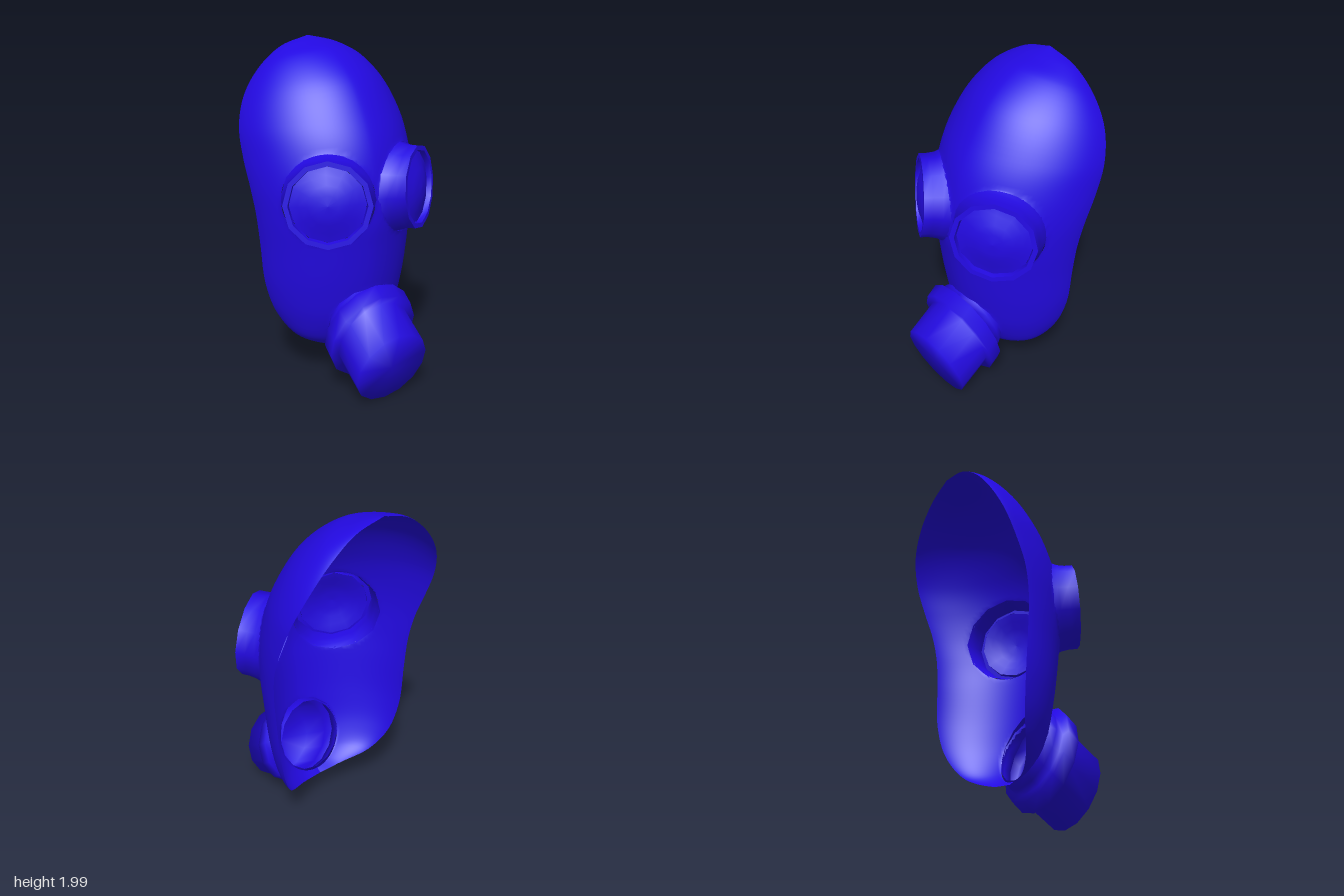
import * as THREE from 'three';
import { toCreasedNormals, mergeVertices } from 'three/addons/utils/BufferGeometryUtils.js';

const V = (x, y, z) => new THREE.Vector3(x, y, z);
const rubber = new THREE.MeshStandardMaterial({ color: 0x2309e2, side: THREE.DoubleSide });

// Openings in the shell: eyepieces with their facing directions, and the slanted snout
const eyes = [1, -1].map((s) => ({ centre: V(s * 0.305, 1.21, 0.226), axis: V(s * 0.545, 0.09, 0.84).normalize(), r: 0.255 }));
const snoutHole = { centre: V(0, 0.355, 0.22), axis: V(0, -0.54, 0.84).normalize(), r: 0.215 };

// Grid of points (rows of equal length) to an indexed geometry; keep(a, b, c) filters faces
function gridGeometry(rows, keep = () => true) {
  const n = rows[0].length, index = [];
  for (let i = 0; i + 1 < rows.length; i++) {
    for (let j = 0; j + 1 < n; j++) {
      const a = i * n + j, b = a + 1, c = a + n, d = c + 1;
      if (keep(a, c, b)) index.push(a, c, b);
      if (keep(b, c, d)) index.push(b, c, d);
    }
  }
  const g = new THREE.BufferGeometry().setFromPoints(rows.flat());
  g.setIndex(index);
  return g;
}

// Face shell: arcs from the open rim, over the front centre line, to the other rim
function faceRows() {
  // rim x, y, z, then centre line y, z
  const sections = [
    [0, 2, -0.47, 2, -0.47], [0.18, 1.95, -0.467, 1.975, -0.35], [0.33, 1.84, -0.46, 1.94, -0.22],
    [0.44, 1.7, -0.435, 1.81, -0.03], [0.505, 1.54, -0.38, 1.61, 0.115], [0.52, 1.37, -0.31, 1.45, 0.19],
    [0.515, 1.23, -0.255, 1.25, 0.235], [0.5, 1.07, -0.225, 1.07, 0.245], [0.485, 0.9, -0.22, 0.9, 0.225],
    [0.46, 0.63, -0.22, 0.65, 0.19], [0.405, 0.44, -0.19, 0.46, 0.15], [0.31, 0.3, -0.12, 0.33, 0.09],
    [0.15, 0.23, -0.04, 0.27, 0.05], [0, 0.21, -0.015, 0.24, 0.025],
  ];
  const rim = new THREE.CatmullRomCurve3(sections.map((s) => V(s[0], s[1], s[2])));
  const front = new THREE.CatmullRomCurve3(sections.map((s) => V(0, s[3], s[4])));
  const N = 91, M = 72, rows = [];
  for (let i = 0; i <= N; i++) {
    const r = rim.getPoint(i / N), f = front.getPoint(i / N), row = [];
    for (let j = 0; j <= M; j++) {
      const a = (j / M - 0.5) * Math.PI;
      const c = Math.pow(Math.max(0, Math.cos(a)), 1.12), s = Math.sin(a);
      row.push(V(Math.max(0, r.x) * Math.sign(s) * Math.pow(Math.abs(s), 1.12),
        r.y + (f.y - r.y) * c, r.z + (f.z - r.z) * c));
    }
    rows.push(row);
  }
  return rows;
}

// Part of p's offset from a hole's axis that is square to the axis
function radialOffset(p, hole) {
  const d = p.clone().sub(hole.centre);
  return d.addScaledVector(hole.axis, -d.dot(hole.axis));
}

// Cut the openings: points inside a hole move to its wall, faces wholly inside are dropped
function faceGeometry(rows) {
  const inside = rows.flat().map((p) => [...eyes, snoutHole].findIndex((h) => {
    const radial = radialOffset(p, h), len = radial.length();
    if (len >= h.r) return false;
    p.addScaledVector(radial, h.r / Math.max(len, 1e-4) - 1);
    return true;
  }));
  const g = gridGeometry(rows, (a, b, c) => inside[a] < 0 || inside[a] !== inside[b] || inside[b] !== inside[c]);
  g.computeVertexNormals();
  return g;
}

// Eye barrel: flares out of the shell, whose depth is found at each corner, up to a flat lip
function barrelGeometry(eye, shellPoints) {
  const side = V(0, 1, 0).cross(eye.axis).normalize(), up = eye.axis.clone().cross(side);
  const spokes = Array.from({ length: 13 }, (_, j) => {
    const a = (j / 12) * Math.PI * 2;
    const dir = side.clone().multiplyScalar(Math.sin(a)).addScaledVector(up, Math.cos(a));
    const target = dir.clone().multiplyScalar(eye.r);
    let best = Infinity, depth = 0;
    for (const p of shellPoints) {
      const gap = radialOffset(p, eye).distanceTo(target);
      if (gap < best) {
        best = gap;
        depth = p.clone().sub(eye.centre).dot(eye.axis);
      }
    }
    return { dir, depth: depth - 0.008 };
  });
  // radius, share of the shell depth, extra height
  const rings = [[0.262, 1, 0], [0.246, 0.7, 0], [0.239, 0.35, 0], [0.239, 0, 0], [0.212, 0, 0], [0.207, 0, -0.03]];
  const rows = rings.map(([r, share, h]) => spokes.map(({ dir, depth }) =>
    eye.centre.clone().addScaledVector(dir, r).addScaledVector(eye.axis, depth * share + h)));
  return toCreasedNormals(mergeVertices(gridGeometry(rows.reverse())), 0.7);
}

// Snout: tilted discs strung along a slanted axis; entries are centre z, centre y, radius
function snoutGeometry() {
  const rings = [[0.08, 0.45, 0.218], [0.115, 0.428, 0.24], [0.155, 0.405, 0.24], [0.155, 0.405, 0.288],
    [0.22, 0.355, 0.288], [0.22, 0.355, 0.237], [0.405, 0.235, 0.235], [0.405, 0.235, 0]];
  const sides = 14;
  const rows = rings.map(([z, y, r]) => Array.from({ length: sides + 1 }, (_, j) => {
    const a = (j / sides) * Math.PI * 2;
    return V(r * Math.sin(a), y + r * Math.cos(a) * 0.961, z + r * Math.cos(a) * 0.276);
  }));
  const g = mergeVertices(gridGeometry(rows));
  g.computeVertexNormals();
  return g;
}

function part(name, geometry) {
  const mesh = new THREE.Mesh(geometry, rubber);
  mesh.name = name;
  return mesh;
}

export function createModel() {
  const model = new THREE.Group();
  model.name = 'gasMask';

  const rows = faceRows();
  const shellPoints = rows.flat().map((p) => p.clone());
  model.add(part('faceShell', faceGeometry(rows)));
  model.add(part('filterSnout', snoutGeometry()));

  // Shallow domed lens set just behind each lip
  const lensProfile = [[0.208, -0.03], [0.16, -0.018], [0.11, 0], [0.06, 0.01], [0, 0.014]];
  eyes.forEach((eye, i) => {
    const lens = part('eyeLens', new THREE.LatheGeometry(lensProfile.map(([r, h]) => new THREE.Vector2(r, h)), 12));
    lens.position.copy(eye.centre);
    lens.quaternion.setFromUnitVectors(V(0, 1, 0), eye.axis);
    const eyepiece = new THREE.Group();
    eyepiece.name = i === 0 ? 'leftEyepiece' : 'rightEyepiece';
    eyepiece.add(part('eyeBarrel', barrelGeometry(eye, shellPoints)), lens);
    model.add(eyepiece);
  });
  return model;
}
